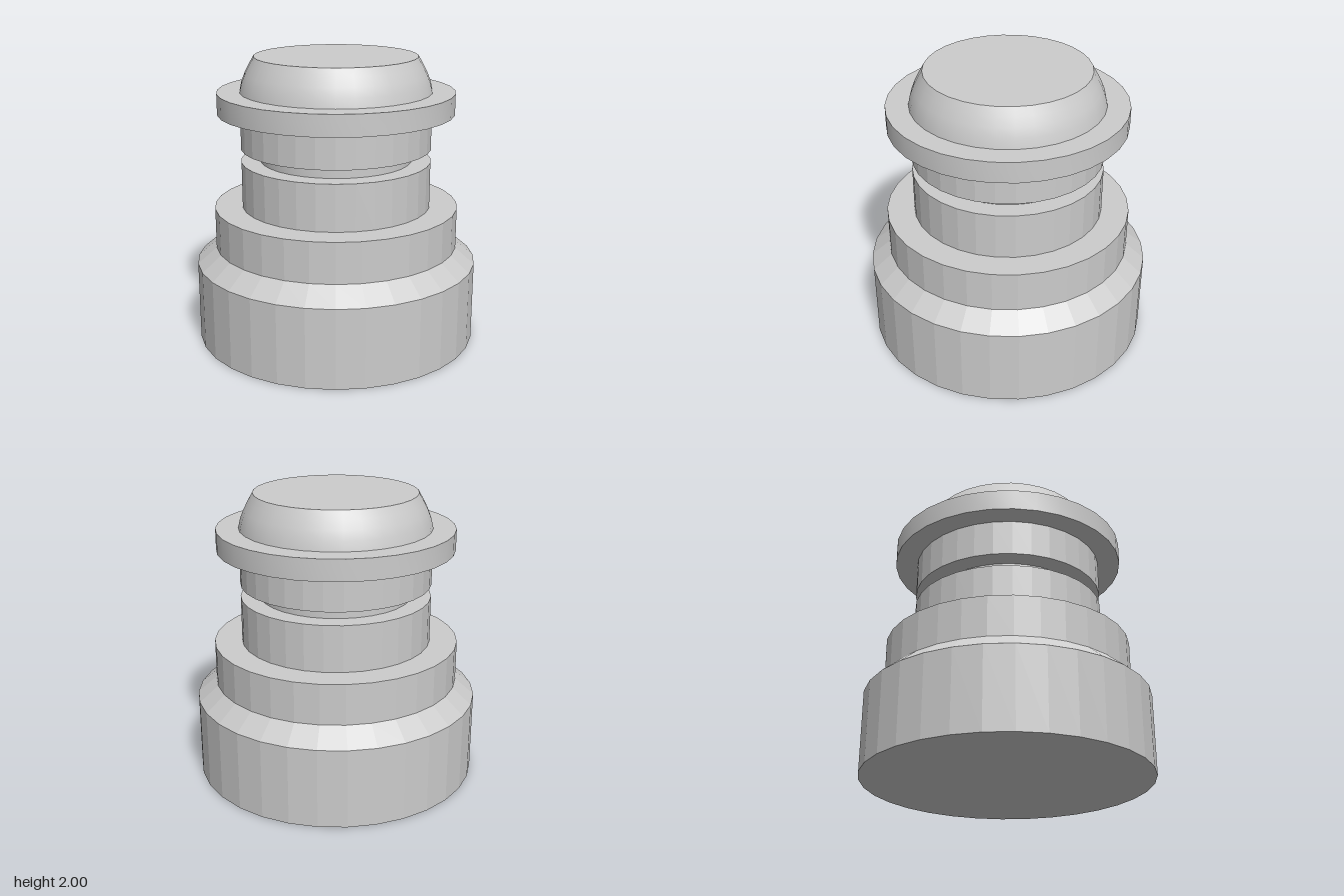
import * as THREE from 'three';
import { toCreasedNormals } from 'three/addons/utils/BufferGeometryUtils.js';

const SIDES = 32;

// Turns a bottom-to-top list of [radius, height] into a named part.
function turned(name, profile, smooth) {
  const points = profile.map(([r, y]) => new THREE.Vector2(r, y));
  const lathe = new THREE.LatheGeometry(points, SIDES);
  const geometry = smooth ? toCreasedNormals(lathe, 0.5) : lathe;
  const material = new THREE.MeshStandardMaterial({ color: 0xcccccc, flatShading: !smooth });
  const mesh = new THREE.Mesh(geometry, material);
  mesh.name = name;
  return mesh;
}

export function createModel() {
  const model = new THREE.Group();
  model.name = 'turnedFitting';

  // Each part carries its own ledges, so the stack forms one closed skin.
  model.add(
    // wide foot with a chamfered shoulder
    turned('base', [[0, 0], [0.99, 0], [0.99, 0.557], [0.856, 0.67]], false),
    // step above the chamfer
    turned('step', [[0.856, 0.67], [0.856, 0.953], [0.664, 0.953]], false),
    // neck below and above the groove
    turned('lowerNeck', [[0.664, 0.953], [0.664, 1.276], [0.53, 1.276]], false),
    turned('groove', [[0.53, 1.276], [0.53, 1.366]], true),
    turned('upperNeck', [[0.53, 1.366], [0.664, 1.366], [0.664, 1.615]], false),
    // projecting collar
    turned('collar', [[0.664, 1.615], [0.82, 1.615], [0.82, 1.76], [0.664, 1.76]], true),
    // curved cap with a flat top
    turned('cap', [[0.664, 1.76], [0.649, 1.825], [0.625, 1.885], [0.595, 1.943], [0.563, 2], [0, 2]], true),
  );
  return model;
}
